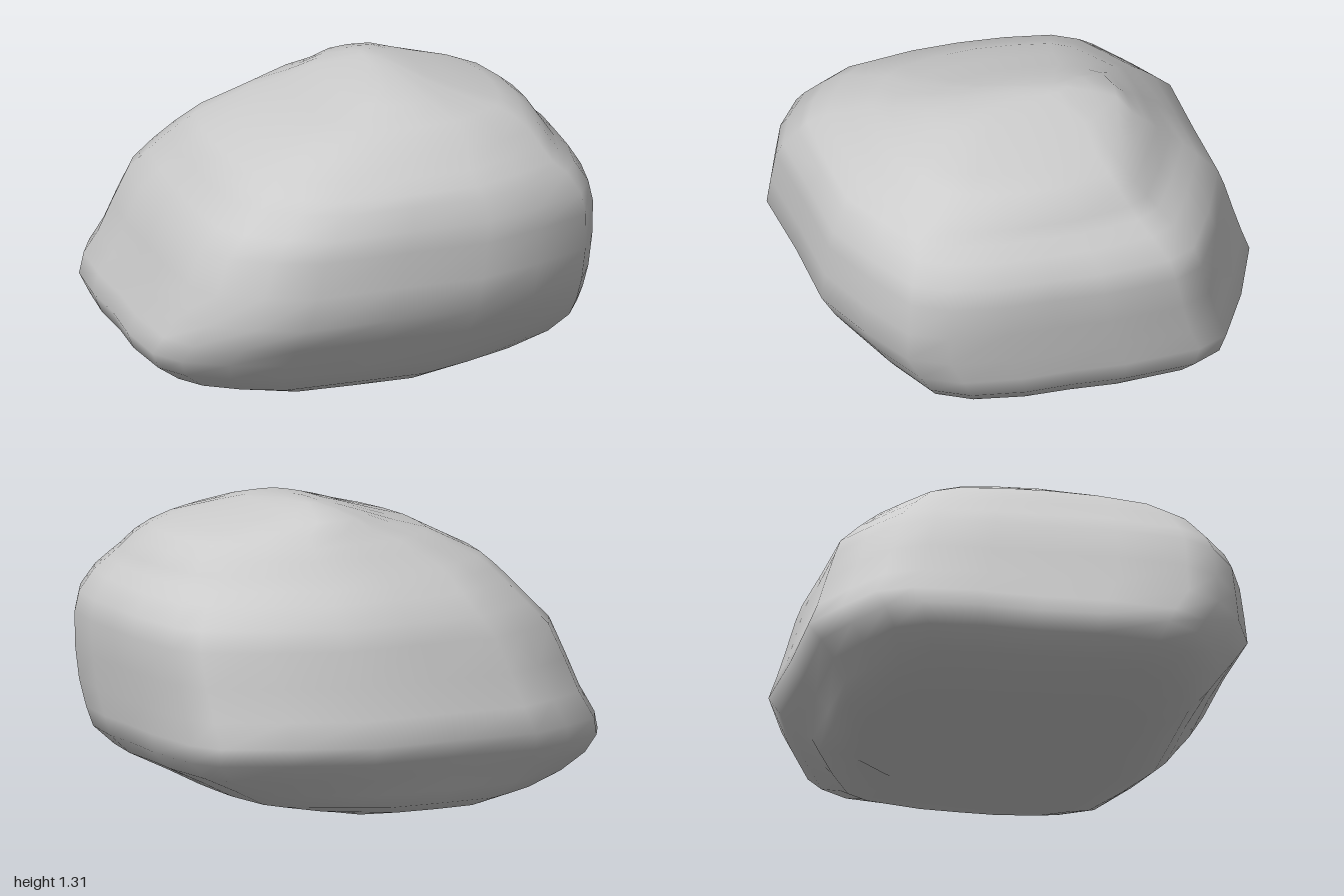
import * as THREE from 'three';

// Blunt-cornered plan outline in unit coordinates [x, z], from +x round towards +z
const OUTLINE = [
  [1, 0.05], [1, 0.3], [0.96, 0.57], [0.87, 0.75], [0.6, 0.885], [0.3, 1], [-0.1, 1], [-0.49, 1],
  [-0.7, 0.9], [-0.87, 0.77], [-0.96, 0.62], [-1, 0.3], [-1, 0], [-1, -0.3], [-0.97, -0.6], [-0.89, -0.765],
  [-0.7, -0.89], [-0.5, -1], [-0.1, -1], [0.28, -1], [0.6, -0.845], [0.87, -0.69], [0.95, -0.55], [1, -0.2],
];

// Cross-sections of the boulder: height, left/right limits in x, back/front limits in z,
// then the reach of the two diagonal pairs of corners (x and z alike, x and z opposed)
const SECTIONS = [
  [0.005, -0.05, 0.22, -0.50, 0.10, 0.92, 0.92],
  [0.035, -0.58, 0.38, -0.67, 0.37, 0.95, 0.97],
  [0.08, -0.72, 0.60, -0.77, 0.58, 0.97, 1.00],
  [0.14, -0.88, 0.71, -0.79, 0.70, 0.98, 1.02],
  [0.22, -0.97, 0.87, -0.84, 0.76, 1.00, 1.05],
  [0.30, -1.00, 0.95, -0.89, 0.81, 1.01, 1.06],
  [0.38, -0.97, 0.965, -0.94, 0.87, 1.01, 1.05],
  [0.49, -0.93, 0.975, -0.90, 0.94, 1.00, 1.05],
  [0.63, -0.88, 0.99, -0.855, 0.935, 1.00, 1.05],
  [0.78, -0.83, 1.00, -0.81, 0.925, 0.99, 1.05],
  [0.87, -0.75, 0.985, -0.78, 0.915, 0.98, 1.04],
  [0.96, -0.68, 0.93, -0.70, 0.87, 0.97, 1.02],
  [1.01, -0.64, 0.87, -0.65, 0.85, 0.96, 1.00],
  [1.06, -0.59, 0.84, -0.60, 0.78, 0.95, 0.98],
  [1.12, -0.47, 0.80, -0.54, 0.71, 0.94, 0.97],
  [1.17, -0.37, 0.74, -0.49, 0.64, 0.93, 0.95],
  [1.21, -0.22, 0.65, -0.44, 0.58, 0.92, 0.93],
  [1.26, -0.06, 0.45, -0.39, 0.44, 0.90, 0.90],
  [1.29, 0.05, 0.34, -0.28, 0.31, 0.90, 0.90],
  [1.308, 0.14, 0.24, -0.18, 0.05, 0.90, 0.90],
];

// Outline fitted to one section, its corners pulled in or out
function ringPoint([y, x0, x1, z0, z1, alike, opposed], [u, v]) {
  const corner = Math.min(Math.abs(u), Math.abs(v)) / 0.75;
  const k = 1 + ((u * v > 0 ? alike : opposed) - 1) * corner;
  return [(x0 + x1) / 2 + ((x1 - x0) / 2) * u * k, y, (z0 + z1) / 2 + ((z1 - z0) / 2) * v * k];
}

// Stack the rings into a closed skin with a pole at each end
function skin(sections, outline) {
  const pos = [], index = [], sides = outline.length;
  for (const sec of sections)
    for (const p of outline) pos.push(...ringPoint(sec, p));
  const last = sections.length - 1;
  for (let r = 0; r < last; r++)
    for (let i = 0; i < sides; i++) {
      const j = (i + 1) % sides;
      const a = r * sides + i, b = r * sides + j, c = a + sides, d = b + sides;
      index.push(a, c, b, b, c, d);
    }
  const bottom = sections.length * sides, top = bottom + 1;
  for (const [k, y] of [[0, 0], [last, 1.31]]) {
    const [, x0, x1, z0, z1] = sections[k];
    pos.push((x0 + x1) / 2, y, (z0 + z1) / 2);
  }
  for (let i = 0; i < sides; i++) {
    const j = (i + 1) % sides;
    index.push(bottom, i, j, top, last * sides + j, last * sides + i);
  }
  const g = new THREE.BufferGeometry();
  g.setAttribute('position', new THREE.Float32BufferAttribute(pos, 3));
  g.setIndex(index);
  g.computeVertexNormals();
  return g;
}

export function createModel() {
  const group = new THREE.Group();
  group.name = 'rock';
  const boulder = new THREE.Mesh(skin(SECTIONS, OUTLINE), new THREE.MeshStandardMaterial({ color: 0xcccccc }));
  boulder.name = 'boulder';
  group.add(boulder);
  return group;
}
